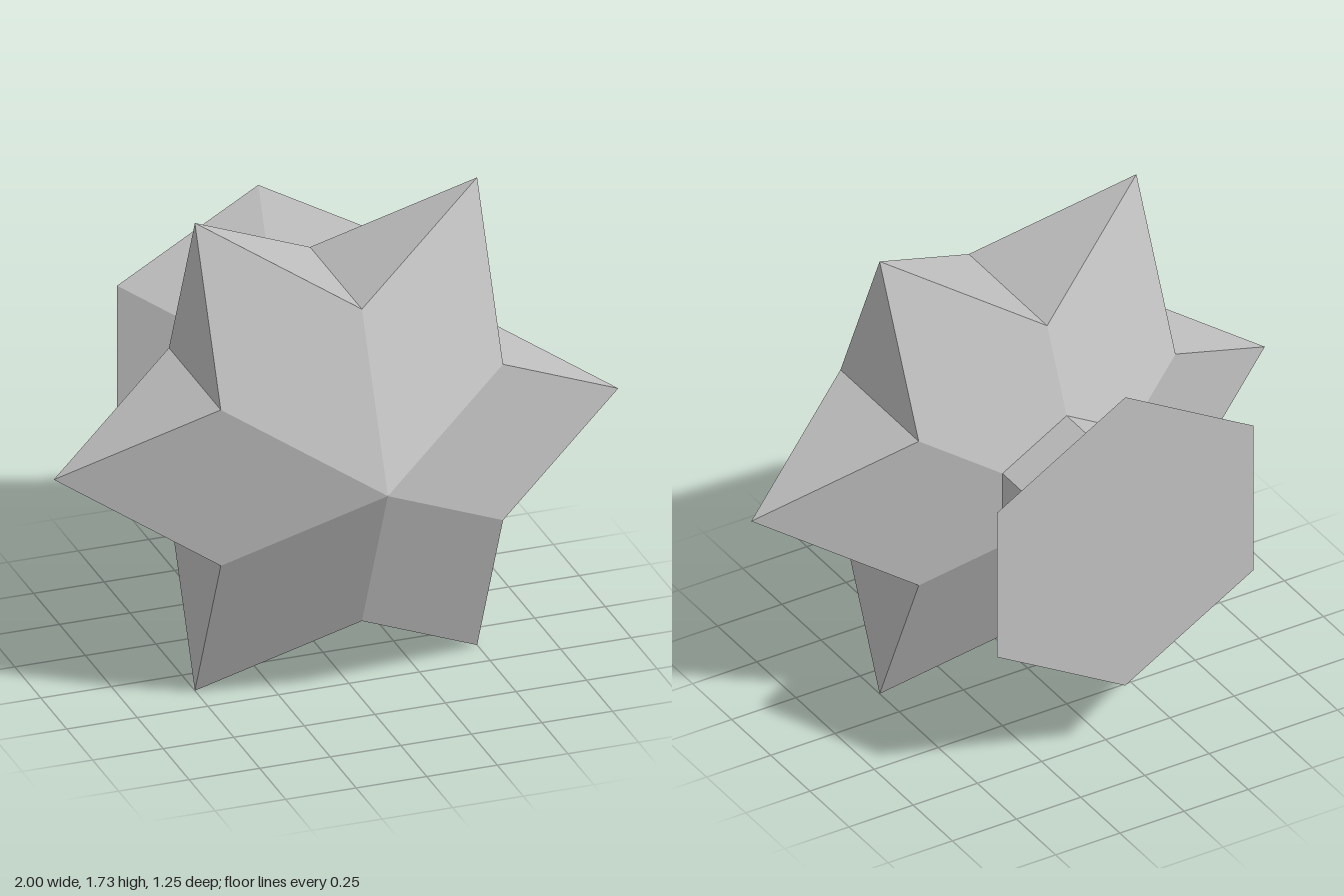
import * as THREE from 'three';

const CENTER_Y = Math.sqrt(3) / 2;
const INNER = 1 / Math.sqrt(3); // radius of the notches between star points
const NECK = INNER / 2;

// Six-pointed faceted star; its back is cut flat where the neck begins
function starGeometry() {
  const positions = [];
  const at = (radius, degrees, z) => {
    const a = THREE.MathUtils.degToRad(degrees);
    return [radius * Math.cos(a), radius * Math.sin(a), z];
  };
  // Convex polygon as a triangle fan, counter-clockwise from outside
  const face = (...p) => {
    for (let i = 1; i < p.length - 1; i++) positions.push(...p[0], ...p[i], ...p[i + 1]);
  };
  for (let k = 0; k < 6; k++) {
    const mid = k * 60, low = mid - 30, high = mid + 30;
    const apex = [0, 0, 0.625];
    const tip = at(1, mid, 0.125);
    const frontLow = at(INNER, low, 0.375), frontHigh = at(INNER, high, 0.375);
    const backLow = at(INNER, low, -0.125), backHigh = at(INNER, high, -0.125);
    face(apex, frontLow, tip, frontHigh);
    face(at(NECK, low, -0.25), at(NECK, high, -0.25), backHigh, tip, backLow);
    face(tip, backHigh, frontHigh);
    face(tip, frontLow, backLow);
  }
  const geometry = new THREE.BufferGeometry();
  geometry.setAttribute('position', new THREE.Float32BufferAttribute(positions, 3));
  geometry.computeVertexNormals();
  return geometry;
}

// Hexagonal section along z, with a corner pointing straight up
function hexSection(frontRadius, backRadius, depth, openEnded) {
  const geometry = new THREE.CylinderGeometry(frontRadius, backRadius, depth, 6, 1, openEnded);
  return geometry.rotateX(Math.PI / 2);
}

export function createModel() {
  const group = new THREE.Group();
  group.name = 'starKnob';
  const grey = new THREE.MeshStandardMaterial({ color: 0xc0c0c0, flatShading: true });
  grey.name = 'light grey';

  const add = (name, geometry, z) => {
    const mesh = new THREE.Mesh(geometry, grey);
    mesh.name = name;
    mesh.position.set(0, CENTER_Y, z);
    group.add(mesh);
  };

  add('star', starGeometry(), 0);
  add('neck', hexSection(NECK, NECK, 0.25, true), -0.375);
  add('flaredBase', hexSection(NECK, INNER, 0.125, false), -0.5625);
  return group;
}
